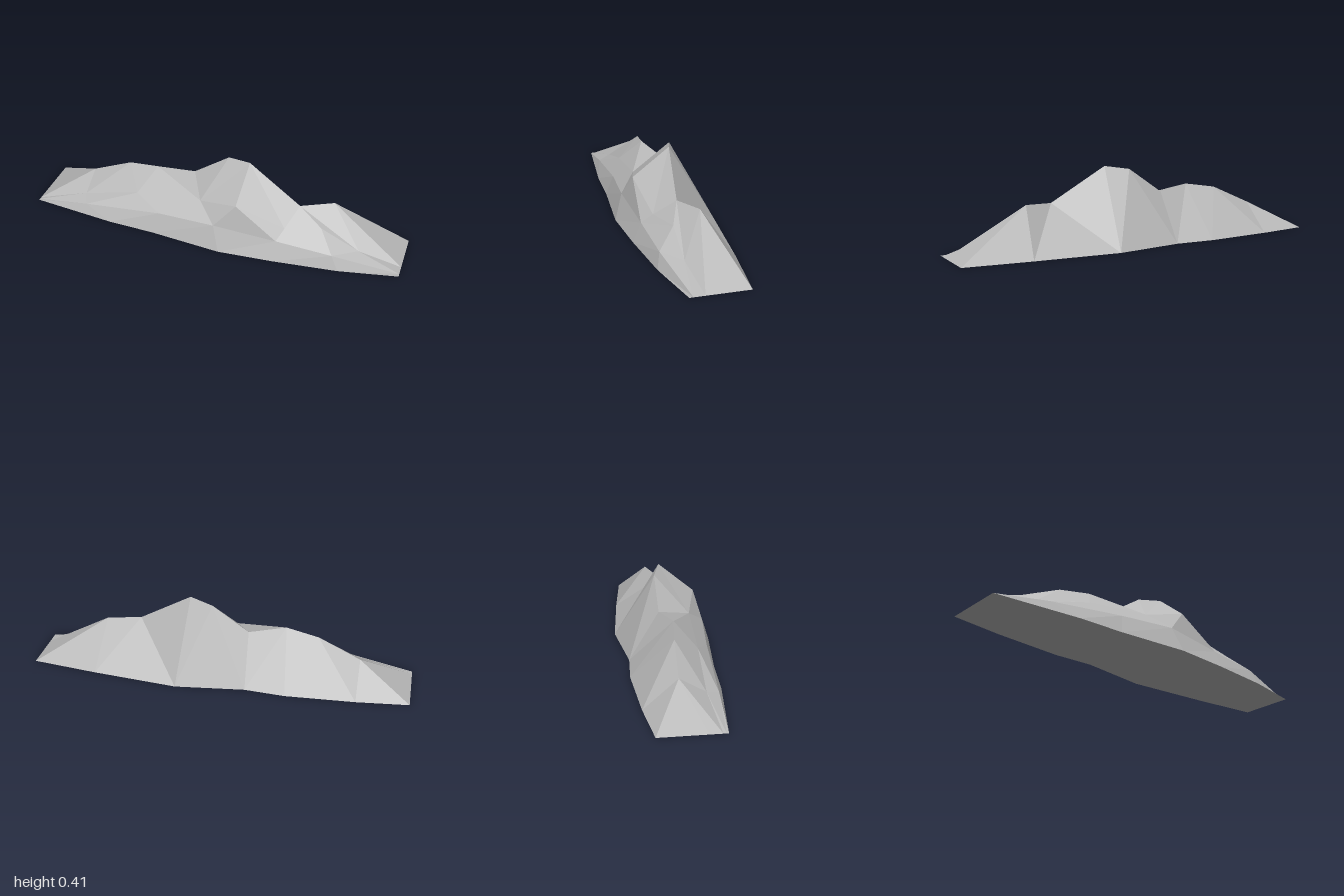
import * as THREE from 'three';

// Lines running from -x to +x, listed from the back foot to the front foot
const backFoot = [[-1, 0, -0.17], [-0.73, 0, -0.2], [-0.37, 0, -0.22], [-0.16, 0, -0.205],
  [0.2, 0, -0.25], [0.65, 0, -0.205], [1, 0, -0.16]];
const ridge = [[-1, 0, 0.07], [-0.73, 0.15, -0.03], [-0.51, 0.25, -0.02], [-0.34, 0.277, 0],
  [-0.15, 0.255, -0.05], [0.04, 0.388, -0.05], [0.165, 0.407, -0.012], [0.45, 0.232, 0.03],
  [0.615, 0.245, -0.035], [1, 0, -0.035]];
const shoulder = [[-1, 0, 0.13], [-0.73, 0.075, 0.1], [-0.42, 0.16, 0.11], [-0.06, 0.205, 0.12],
  [0.15, 0.257, 0.173], [0.4, 0.15, 0.135], [0.58, 0.16, 0.085], [0.78, 0.07, 0.09], [1, 0, 0.06]];
const lowerSlope = [[-1, 0, 0.145], [-0.7, 0.055, 0.165], [-0.27, 0.11, 0.18], [0.04, 0.13, 0.207],
  [0.37, 0.1, 0.188], [0.66, 0.073, 0.175], [1, 0, 0.115]];
const frontFoot = [[-1, 0, 0.155], [-0.55, 0, 0.205], [-0.3, 0, 0.215], [0.08, 0, 0.25],
  [0.37, 0, 0.23], [0.7, 0, 0.195], [1, 0, 0.135]];

// Zip two lines into triangles; each step moves on along line a or line b
function zip(a, b, steps, flip = false) {
  const out = [];
  let i = 0, j = 0;
  for (const step of steps) {
    const next = step === 'a' ? a[i + 1] : b[j + 1];
    const tri = [a[i], b[j], next];
    if (flip) tri.reverse();
    out.push(...tri.flat());
    if (step === 'a') i++; else j++;
  }
  return out;
}

function facetMesh(name, positions, material) {
  const geometry = new THREE.BufferGeometry();
  geometry.setAttribute('position', new THREE.Float32BufferAttribute(positions, 3));
  geometry.computeVertexNormals(); // unshared corners keep the facets flat
  const mesh = new THREE.Mesh(geometry, material);
  mesh.name = name;
  return mesh;
}

export function createModel() {
  const group = new THREE.Group();
  group.name = 'mountainRange';
  const rock = new THREE.MeshStandardMaterial({ color: 0xb8b8b8 });
  rock.name = 'grey rock';
  const even = 'ab'.repeat(6);

  group.add(
    facetMesh('backSlope', zip(backFoot, ridge, 'babababbabbabab'), rock),
    facetMesh('upperFrontSlope', zip(ridge, shoulder, 'abababaaabbabbaba'), rock),
    facetMesh('middleFrontSlope', zip(shoulder, lowerSlope, 'ababababaababa'), rock),
    facetMesh('frontFootSlope', zip(lowerSlope, frontFoot, even), rock),
    facetMesh('base', zip(backFoot, frontFoot, even, true), rock),
  );
  return group;
}
